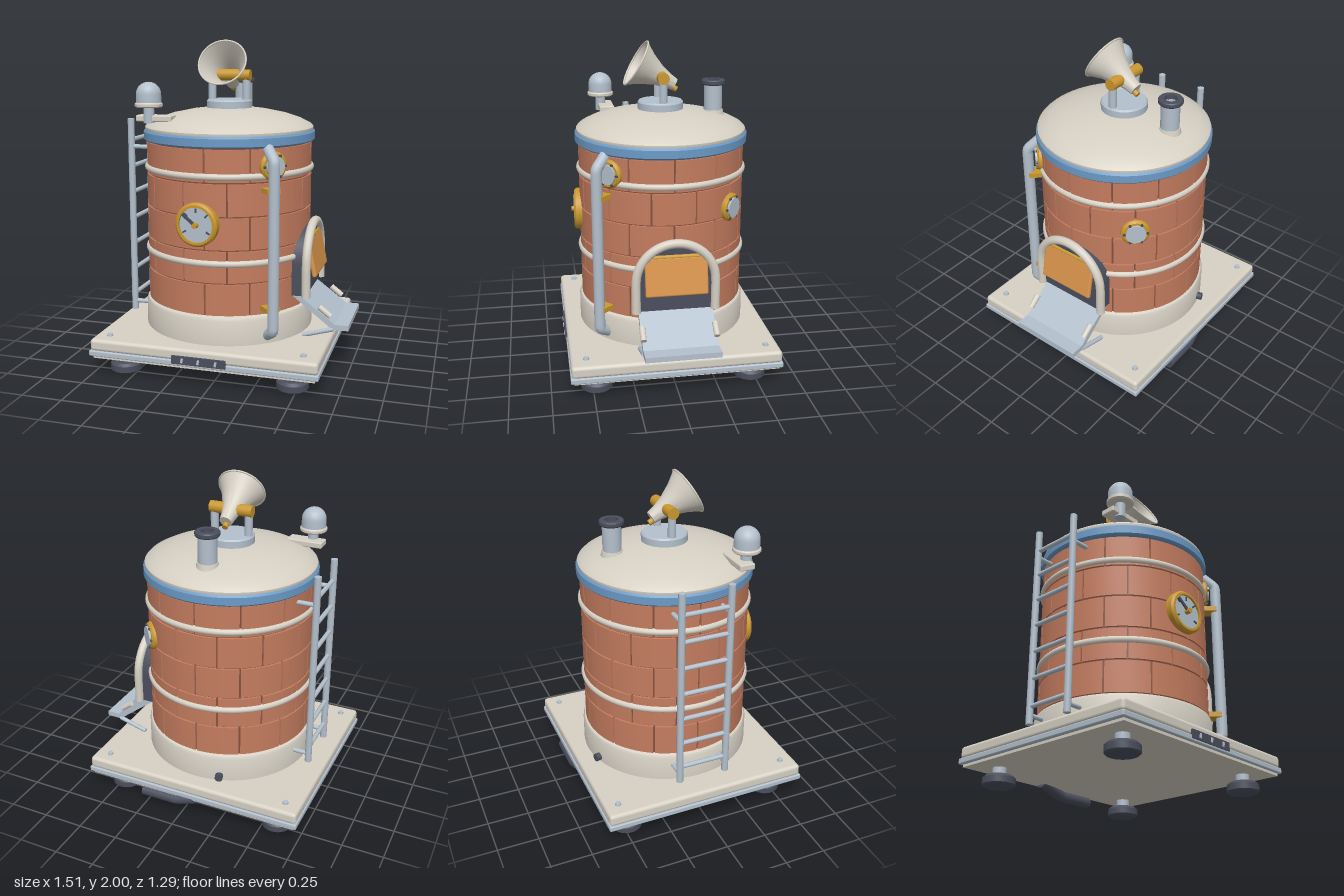
import * as THREE from 'three';
import { toCreasedNormals } from 'three/addons/utils/BufferGeometryUtils.js';
import { RoundedBoxGeometry } from 'three/addons/geometries/RoundedBoxGeometry.js';

const paint = (name, color, side = THREE.FrontSide) => {
  const m = new THREE.MeshStandardMaterial({ color, side });
  m.name = name;
  return m;
};
const V = (x, y, z) => new THREE.Vector3(x, y, z);
const cyl = (r, h, rBottom = r, n = 32) => new THREE.CylinderGeometry(r, rBottom, h, n);
const box = (x, y, z) => new THREE.BoxGeometry(x, y, z);
const rbox = (x, y, z, r) => new RoundedBoxGeometry(x, y, z, 3, r);
const lathe = (pts, n = 64) => toCreasedNormals(
  new THREE.LatheGeometry(pts.map(p => new THREE.Vector2(...p)), n), 0.6);

export function createModel() {
  const cream = paint('cream enamel', 0xd6d0c4, THREE.DoubleSide);
  const metal = paint('pale steel', 0xb3c0cc);
  const slate = paint('dark slate', 0x4b4f5d);
  const brick = paint('brick', 0xc47c5f);
  const mortar = paint('mortar', 0x84503e);
  const brass = paint('brass', 0xc9982f);
  const orange = paint('orange door', 0xd9944c);
  const blue = paint('blue band', 0x6c9ac6);

  const root = new THREE.Group();
  const add = (name, geo, mat, x = 0, y = 0, z = 0, parent = root) => {
    const m = new THREE.Mesh(geo, mat);
    m.name = name;
    m.position.set(x, y, z);
    parent.add(m);
    return m;
  };
  const group = (name, x = 0, y = 0, z = 0, parent = root) => {
    const g = new THREE.Group();
    g.name = name;
    g.position.set(x, y, z);
    parent.add(g);
    return g;
  };
  // round bar between two points
  const bar = (name, a, b, r, mat, parent = root) => {
    const d = b.clone().sub(a);
    const m = add(name, cyl(r, d.length(), r, 16), mat, 0, 0, 0, parent);
    m.position.copy(a).add(b).multiplyScalar(0.5);
    m.quaternion.setFromUnitVectors(V(0, 1, 0), d.normalize());
    return m;
  };
  // disc facing +z
  const disc = (name, r, h, mat, x, y, z, parent) => {
    const m = add(name, cyl(r, h, r, 40), mat, x, y, z, parent);
    m.rotation.x = Math.PI / 2;
    return m;
  };
  // pipe along straight runs joined by small bends
  const pipe = (name, pts, r, mat, parent = root) => {
    const path = new THREE.CurvePath();
    let last = pts[0];
    for (let i = 1; i < pts.length - 1; i++) {
      const p = pts[i];
      const a = p.clone().add(pts[i - 1].clone().sub(p).setLength(0.02));
      const b = p.clone().add(pts[i + 1].clone().sub(p).setLength(0.02));
      path.add(new THREE.LineCurve3(last, a));
      path.add(new THREE.QuadraticBezierCurve3(a, p, b));
      last = b;
    }
    const end = pts[pts.length - 1];
    path.add(new THREE.LineCurve3(last, end));
    add(name, new THREE.TubeGeometry(path, 80, r, 18), mat, 0, 0, 0, parent);
    for (const [p, q] of [[pts[0], pts[1]], [end, pts[pts.length - 2]]])
      bar(name + 'End', p, p.clone().lerp(q, 0.05), r, mat, parent);
  };

  // base plate, feet and bolts
  add('basePlateBottom', box(1.36, 0.025, 1.24), cream, -0.052, 0.1275, 0);
  add('basePlateTrim', rbox(1.405, 0.035, 1.275, 0.008), metal, -0.052, 0.148, 0);
  add('basePlateTop', rbox(1.395, 0.075, 1.265, 0.022), cream, -0.052, 0.198, 0);
  for (const x of [-0.58, 0.47]) for (const z of [-0.475, 0.475]) {
    add('foot', lathe([[0, 0.005], [0.085, 0.005], [0.096, 0.015], [0.096, 0.052],
      [0.08, 0.068], [0, 0.07]], 28), slate, x, 0, z);
    add('footStem', cyl(0.04, 0.06), metal, x, 0.092, z);
  }
  for (const x of [-0.655, 0.545]) for (const z of [-0.55, 0.54])
    add('plateBolt', cyl(0.016, 0.016, 0.019, 16), metal, x, 0.241, z);
  add('frontPanel', box(0.33, 0.05, 0.02), slate, -0.055, 0.17, 0.634);
  for (const x of [-0.155, -0.055, 0.05])
    add('panelStud', box(0.014, 0.028, 0.006), metal, x, 0.17, 0.646).rotation.z = -0.2;
  pipe('exhaustPipe', [V(0.27, 0.085, -0.608), V(0.04, 0.085, -0.608), V(-0.17, 0.13, -0.57)], 0.034, slate);

  // round tower
  const tower = group('tower', -0.055, 0, 0);
  add('plinth', lathe([[0, 0.23], [0.53, 0.23], [0.53, 0.385], [0.522, 0.403], [0.505, 0.412], [0, 0.412]]),
    cream, 0, 0, 0, tower);
  add('mortarDrum', cyl(0.5, 1.0, 0.5, 72), mortar, 0, 0.905, 0, tower);
  const rows = 5, perRow = 12, step = Math.PI * 2 / perRow, rowH = 0.198;
  const sector = new THREE.Shape();
  sector.absarc(0, 0, 0.513, -step / 2 + 0.01, step / 2 - 0.01, false);
  sector.absarc(0, 0, 0.49, step / 2 - 0.01, -step / 2 + 0.01, true);
  const brickGeo = toCreasedNormals(new THREE.ExtrudeGeometry(sector,
    { depth: rowH - 0.01, bevelEnabled: false, curveSegments: 6 }).rotateX(-Math.PI / 2), 0.5);
  for (let r = 0; r < rows; r++) for (let i = 0; i < perRow; i++)
    add('brick', brickGeo, brick, 0, 0.415 + r * rowH, 0, tower)
      .rotation.y = (i + (r % 2 ? 0 : 0.5)) * step;
  for (const y of [0.728, 1.238])
    add('hoop', new THREE.TorusGeometry(0.508, 0.021, 12, 72).rotateX(Math.PI / 2), cream, 0, y, 0, tower);
  add('roofBand', lathe([[0.5, 1.402], [0.522, 1.402], [0.532, 1.412], [0.532, 1.458], [0.522, 1.47], [0.5, 1.47]]),
    blue, 0, 0, 0, tower);
  add('roof', lathe([[0.49, 1.41], [0.522, 1.465], [0.522, 1.485], [0.505, 1.502], [0.45, 1.53], [0.36, 1.56],
    [0.24, 1.585], [0.12, 1.6], [0, 1.605]]), cream, 0, 0, 0, tower);

  // chimney
  const flue = [[0.036, 1.575], [0.056, 1.56], [0.056, 1.74], [0.038, 1.74], [0.038, 1.575]];
  add('chimneyPipe', lathe(flue, 32), metal, 0, 0, -0.33, tower);
  add('chimneyRim', lathe([[0.04, 1.735], [0.068, 1.735], [0.073, 1.742], [0.073, 1.76], [0.068, 1.766],
    [0.038, 1.766], [0.038, 1.735]], 32), slate, 0, 0, -0.33, tower);
  add('chimneyCollar', cyl(0.062, 0.04, 0.07), cream, 0, 1.56, -0.33, tower);

  // horn on its stand
  const horn = group('horn', 0, 0, 0, tower);
  add('hornPedestal', lathe([[0, 1.59], [0.14, 1.59], [0.14, 1.638], [0.132, 1.648], [0, 1.648]], 40),
    metal, 0, 0, 0, horn);
  for (const x of [-0.11, 0.11]) add('hornPost', cyl(0.024, 0.16), metal, x, 1.715, 0, horn);
  add('hornAxle', cyl(0.035, 0.27).rotateZ(Math.PI / 2), brass, 0, 1.795, 0, horn);
  const bell = group('bell', 0, 1.741, -0.085, horn);
  bell.rotation.x = 1.05;
  add('bellCone', lathe([[0, 0], [0.038, 0], [0.046, 0.05], [0.062, 0.11], [0.1, 0.195], [0.146, 0.27]], 48),
    cream, 0, 0, 0, bell);
  add('bellRim', new THREE.TorusGeometry(0.146, 0.006, 8, 48).rotateX(Math.PI / 2), cream, 0, 0.27, 0, bell);
  add('bellTip', cyl(0.018, 0.03), brass, 0, -0.012, 0.02, bell);

  // beacon on a roof bracket
  add('beaconBracket', rbox(0.225, 0.038, 0.095, 0.008), cream, -0.422, 1.547, 0.305);
  add('beaconStem', cyl(0.032, 0.1), metal, -0.455, 1.57, 0.335);
  add('beaconCollar', lathe([[0, 1.613], [0.076, 1.613], [0.083, 1.62], [0.083, 1.634], [0.076, 1.642], [0, 1.642]], 32),
    cream, -0.455, 0, 0.335);
  const lamp = [[0.075, 1.64]];
  for (let i = 0; i <= 8; i++)
    lamp.push([0.075 * Math.cos(i * Math.PI / 16), 1.69 + 0.073 * Math.sin(i * Math.PI / 16)]);
  add('beaconLamp', lathe(lamp, 32), metal, -0.455, 0, 0.335);

  // ladder
  const ladder = group('ladder', -0.655, 0, -0.005);
  for (const z of [-0.15, 0.15]) {
    bar('ladderRail', V(0, 0.285, z), V(0, 1.525, z), 0.021, metal, ladder);
    for (const y of [0.34, 1.35]) bar('ladderBracket', V(0, y, z), V(0.13, y, z), 0.014, metal, ladder);
  }
  for (let i = 0; i < 7; i++)
    bar('ladderRung', V(0, 0.39 + i * 0.167, -0.15), V(0, 0.39 + i * 0.167, 0.15), 0.014, metal, ladder);

  // wall fittings: each group's local +z points out of the wall
  const onWall = (name, angle) => {
    const g = group(name, 0, 0, 0, tower);
    g.rotation.y = angle;
    return g;
  };
  const ring = (name, r, inner, z0, z1, y, parent) => {
    const m = add(name, lathe([[inner, z0], [r, z0], [r, z1 - 0.012], [r - 0.012, z1], [inner, z1], [inner, z0]], 40),
      brass, 0, y, 0, parent);
    m.rotation.x = Math.PI / 2;
  };
  const gauge = onWall('gauge', -0.078);
  ring('gaugeRim', 0.13, 0.104, 0.48, 0.548, 0.96, gauge);
  disc('gaugeFace', 0.106, 0.05, metal, 0, 0.96, 0.51, gauge);
  for (const a of [0, 0.85, 2.1, -2.1, -0.85])
    add('gaugeTick', box(0.01, 0.025, 0.006), slate, Math.sin(a) * 0.085, 0.96 + Math.cos(a) * 0.085, 0.537, gauge)
      .rotation.z = -a;
  add('gaugeNeedle', box(0.018, 0.1, 0.008), slate, -0.04, 0.992, 0.552, gauge).rotation.z = 0.9;
  disc('gaugeHub', 0.016, 0.035, brass, 0, 0.96, 0.55, gauge);
  for (const [angle, y] of [[Math.PI * 0.75, 1.055], [0.8, 1.295]]) {
    const port = onWall('porthole', angle);
    ring('portholeRim', 0.086, 0.056, 0.48, 0.535, y, port);
    disc('portholeGlass', 0.06, 0.07, metal, 0, y, 0.512, port);
    for (let i = 0; i < 6; i++)
      disc('portholeBolt', 0.008, 0.01, slate, Math.cos(i * Math.PI / 3) * 0.069,
        y + Math.sin(i * Math.PI / 3) * 0.069, 0.538, port);
  }
  const drain = onWall('drain', Math.PI + 0.29);
  disc('drainSpout', 0.024, 0.06, slate, 0, 0.268, 0.53, drain);

  // downpipe with brass clamps
  const down = onWall('downpipe', 0.735);
  pipe('downpipeTube', [V(0, 1.4, 0.51), V(0, 1.33, 0.59), V(0, 0.325, 0.59), V(0, 0.28, 0.51)], 0.033, metal, down);
  for (const y of [0.455, 1.16]) add('downpipeClamp', box(0.088, 0.03, 0.1), brass, 0, y, 0.54, down);

  // arched hatch
  const hatch = group('hatch', 0, 0, -0.005);
  const arch = (r, y0, yc) => {
    const s = new THREE.Shape();
    s.moveTo(-r, y0).lineTo(r, y0).lineTo(r, yc);
    s.absarc(0, yc, r, 0, Math.PI, false);
    return s;
  };
  const panel = new THREE.ExtrudeGeometry(arch(0.235, 0.49, 0.67), { depth: 0.09, bevelEnabled: false, curveSegments: 24 });
  add('hatchOpening', panel.rotateY(Math.PI / 2), slate, 0.4, 0, 0, hatch);
  const archPts = [V(0.492, 0.5, 0.238), V(0.492, 0.58, 0.238)];
  for (let i = 0; i <= 12; i++) {
    const a = i * Math.PI / 12;
    archPts.push(V(0.492, 0.67 + Math.sin(a) * 0.238, Math.cos(a) * 0.238));
  }
  archPts.push(V(0.492, 0.58, -0.238), V(0.492, 0.5, -0.238));
  add('hatchArch', new THREE.TubeGeometry(new THREE.CatmullRomCurve3(archPts), 64, 0.027, 14), cream, 0, 0, 0, hatch);
  for (const z of [-0.238, 0.238]) add('archEnd', cyl(0.027, 0.02), cream, 0.492, 0.495, z, hatch);
  add('hatchDoor', rbox(0.028, 0.235, 0.375, 0.012), orange, 0.51, 0.712, 0, hatch).rotation.z = 0.2;
  bar('hatchHinge', V(0.488, 0.826, -0.185), V(0.488, 0.826, 0.185), 0.014, brass, hatch);

  // chute below the hatch
  const chute = group('chute', 0, 0, -0.008);
  const side = new THREE.Shape([[0.4, 0.525], [0.4, 0.49], [0.655, 0.292], [0.752, 0.292], [0.752, 0.325],
    [0.668, 0.325]].map(p => new THREE.Vector2(...p)));
  add('chutePlate', new THREE.ExtrudeGeometry(side, { depth: 0.45, bevelEnabled: false }), metal, 0, 0, -0.225, chute);
  for (const z of [-0.218, 0.218]) {
    bar('chuteGrip', V(0.57, 0.428, z), V(0.64, 0.374, z), 0.018, cream, chute);
    bar('chuteLeg', V(0.66, 0.295, z), V(0.47, 0.24, z), 0.014, metal, chute);
  }
  return root;
}
